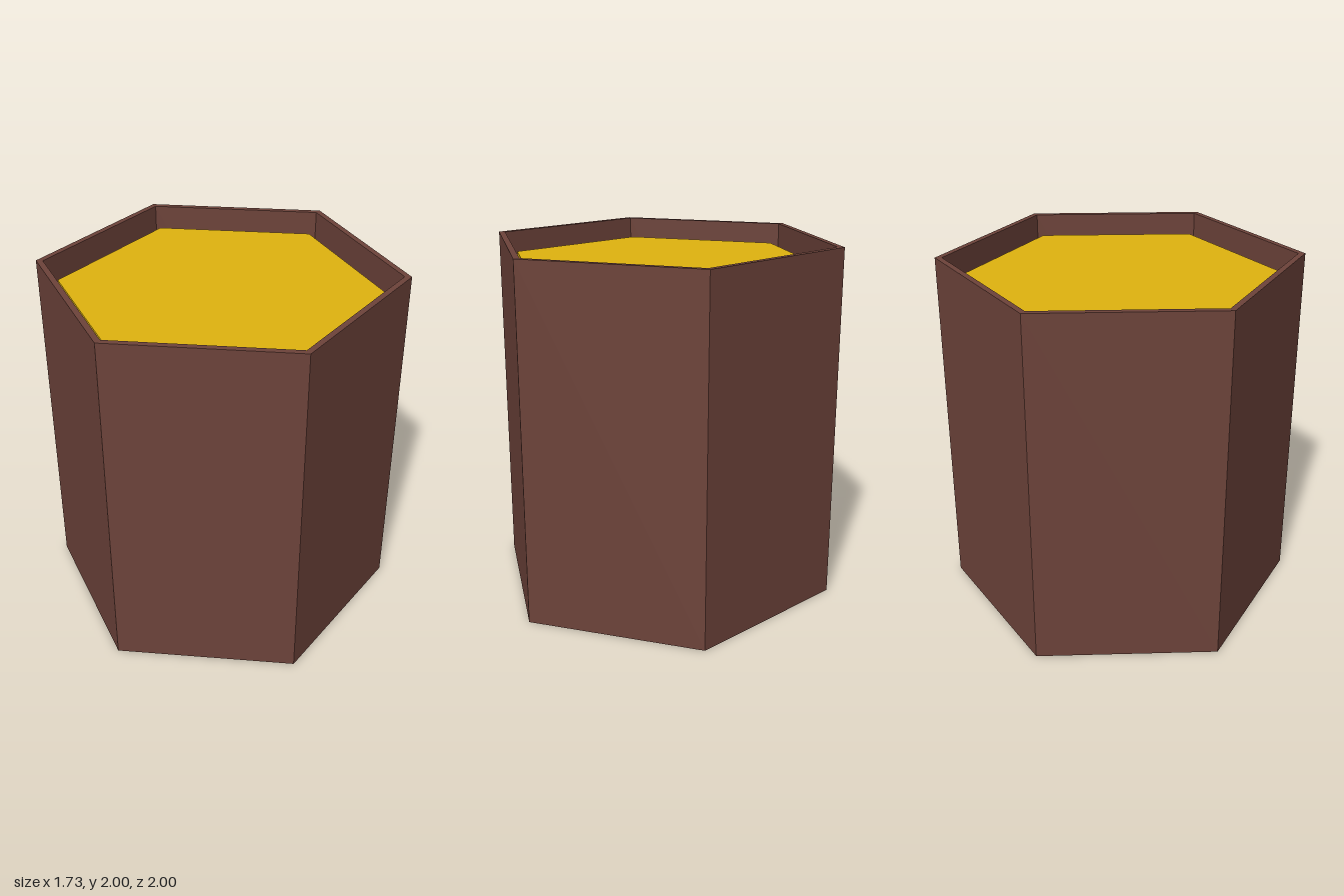
import * as THREE from 'three';

const SIDES = 6;

function material(color) {
  const m = new THREE.MeshStandardMaterial({ flatShading: true });
  m.color.set(color);
  return m;
}

export function createModel() {
  const group = new THREE.Group();
  group.name = 'hexagonalCup';

  // Hollow six-sided cup: underside, outer wall, thin rim, inner wall, inner floor
  const floorY = 0.08, outer = 1, inner = 0.962, height = 2;
  const profile = [
    [0, 0], [outer, 0], [outer, height], [inner, height], [inner, floorY], [0, floorY],
  ].map(([r, y]) => new THREE.Vector2(r, y));
  const cup = new THREE.Mesh(new THREE.LatheGeometry(profile, SIDES), material(0x6d433a));
  cup.name = 'cup';
  group.add(cup);

  // Yellow filling, slightly narrower than the cup and set below the rim
  const fillTop = 1.89;
  const fillHeight = fillTop - floorY;
  const filling = new THREE.Mesh(
    new THREE.CylinderGeometry(0.89, 0.89, fillHeight, SIDES),
    material(0xe0b40f),
  );
  filling.position.y = floorY + fillHeight / 2;
  filling.name = 'filling';
  group.add(filling);

  return group;
}
